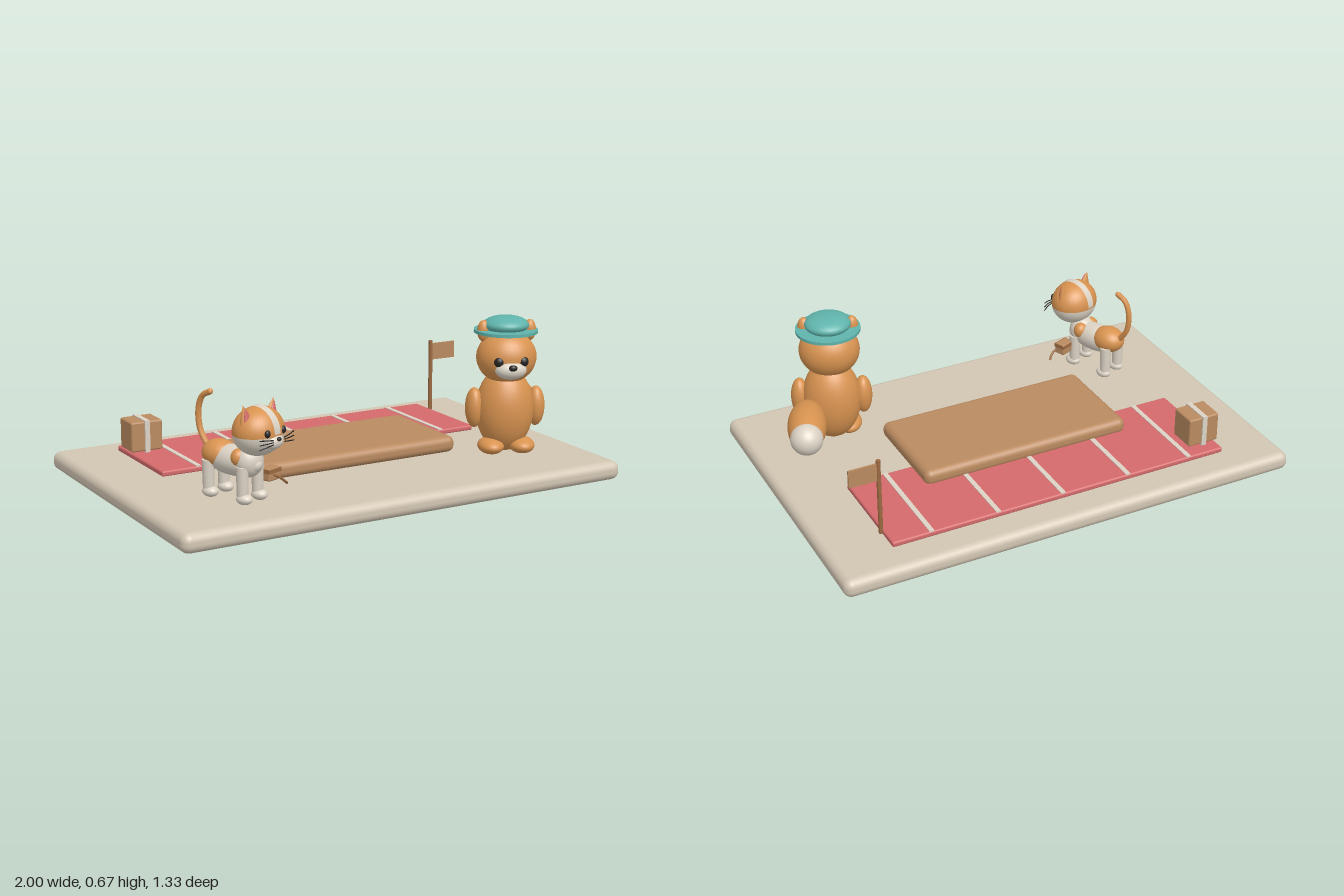
import * as THREE from 'three';
import { RoundedBoxGeometry } from 'three/addons/geometries/RoundedBoxGeometry.js';

const mat = (name, color, extra = {}) => {
  const m = new THREE.MeshStandardMaterial({ color, ...extra });
  m.name = name;
  return m;
};

export function createModel() {
  const stone = mat('stone', 0xd2c6b3);
  const cream = mat('cream', 0xdcd3c5);
  const red = mat('red', 0xd46a6b);
  const wood = mat('wood', 0xb98a60);
  const darkWood = mat('darkWood', 0x9c6b43);
  const orange = mat('orange', 0xd89350);
  const teal = mat('teal', 0x5fb3ab);
  const black = mat('black', 0x262423);

  const add = (parent, name, geometry, material, x = 0, y = 0, z = 0) => {
    const m = new THREE.Mesh(geometry, material);
    m.name = name;
    m.position.set(x, y, z);
    parent.add(m);
    return m;
  };
  const group = (parent, name, x = 0, y = 0, z = 0, yaw = 0) => {
    const g = new THREE.Group();
    g.name = name;
    g.position.set(x, y, z);
    g.rotation.y = yaw;
    parent.add(g);
    return g;
  };
  const blob = (parent, name, material, [x, y, z], [rx, ry, rz]) =>
    add(parent, name, new THREE.SphereGeometry(1, 32, 20).scale(rx, ry, rz), material, x, y, z);
  const tube = (parent, name, material, points, radius) => {
    const path = new THREE.CatmullRomCurve3(points.map(p => new THREE.Vector3(...p)));
    return add(parent, name, new THREE.TubeGeometry(path, 24, radius, 8), material);
  };

  const model = new THREE.Group();
  model.name = 'scene';

  // Ground slab, striped rug and low bench
  add(model, 'base', new RoundedBoxGeometry(2, 0.08, 1.33, 5, 0.035), stone, 0, 0.04, 0);
  add(model, 'rug', new RoundedBoxGeometry(1.5, 0.024, 0.46, 2, 0.008), red, -0.003, 0.09, -0.297);
  for (const x of [-0.59, -0.3, 0, 0.29, 0.58])
    add(model, 'rugStripe', new THREE.BoxGeometry(0.02, 0.006, 0.455), cream, x, 0.102, -0.297);
  add(model, 'bench', new RoundedBoxGeometry(0.93, 0.07, 0.455, 5, 0.03), wood, 0, 0.122, 0);

  // Parcel with a strap around it
  const parcel = group(model, 'parcel', -0.69, 0.174, -0.415);
  add(parcel, 'parcelBox', new RoundedBoxGeometry(0.14, 0.128, 0.12, 2, 0.008), wood);
  add(parcel, 'parcelStrap', new THREE.BoxGeometry(0.022, 0.136, 0.132), cream);

  // Flag on a pole
  const flag = group(model, 'flag', 0.75, 0, -0.42);
  add(flag, 'flagPole', new THREE.CylinderGeometry(0.009, 0.009, 0.335, 12), darkWood, 0, 0.252, 0);
  add(flag, 'flagPanel', new THREE.BoxGeometry(0.12, 0.075, 0.009), wood, 0.065, 0.368, 0);

  // Standing bushy-tailed animal with a hat
  const guide = group(model, 'guide', 0.645, 0, 0.317, -0.39);
  blob(guide, 'guideBody', orange, [0, 0.275, 0], [0.122, 0.18, 0.11]);
  blob(guide, 'guideHead', orange, [0, 0.5, 0.012], [0.126, 0.112, 0.113]);
  blob(guide, 'guideMuzzle', cream, [0, 0.462, 0.1], [0.066, 0.04, 0.045]);
  blob(guide, 'guideNose', black, [0, 0.478, 0.142], [0.018, 0.013, 0.013]);
  for (const s of [-1, 1]) {
    blob(guide, 'guideEye', black, [s * 0.05, 0.497, 0.106], [0.022, 0.022, 0.018]);
    blob(guide, 'guideEar', orange, [s * 0.098, 0.61, 0.005], [0.026, 0.045, 0.024]);
    blob(guide, 'guideArm', orange, [s * 0.131, 0.285, 0.005], [0.038, 0.085, 0.046]);
    blob(guide, 'guideFoot', orange, [s * 0.065, 0.128, 0.042], [0.055, 0.034, 0.075]);
  }
  blob(guide, 'guideTail', orange, [0.1, 0.267, -0.205], [0.08, 0.078, 0.165]);
  blob(guide, 'guideTailTip', cream, [0.1, 0.267, -0.307], [0.067, 0.066, 0.066]);
  add(guide, 'hatBrim', new THREE.CylinderGeometry(0.133, 0.133, 0.013, 40), teal, 0, 0.607, -0.008);
  blob(guide, 'hatCrown', teal, [0, 0.632, -0.008], [0.096, 0.038, 0.094]);

  // Cat body, legs and tail
  const cat = group(model, 'cat', -0.635, 0, 0.33, 0.38);
  blob(cat, 'catBody', cream, [0, 0.235, 0.01], [0.062, 0.06, 0.135]);
  blob(cat, 'catChest', cream, [0, 0.245, 0.085], [0.06, 0.065, 0.055]);
  blob(cat, 'catRump', orange, [0, 0.25, -0.065], [0.064, 0.056, 0.075]);
  for (const s of [-1, 1]) {
    blob(cat, 'catFlankPatch', orange, [s * 0.035, 0.262, 0.065], [0.034, 0.035, 0.03]);
    for (const z of [-0.085, 0.09]) {
      add(cat, 'catLeg', new THREE.CylinderGeometry(0.025, 0.022, 0.13, 16), cream, s * 0.044, 0.165, z);
      blob(cat, 'catPaw', cream, [s * 0.044, 0.104, z + 0.008], [0.028, 0.022, 0.035]);
    }
  }
  tube(cat, 'catTail', orange, [[0, 0.26, -0.12], [0, 0.33, -0.165], [0, 0.41, -0.172],
    [0, 0.465, -0.15], [0, 0.487, -0.11]], 0.012);
  blob(cat, 'catTailTip', orange, [0, 0.487, -0.11], [0.012, 0.012, 0.012]);

  // Cat head in two colours, with a pale stripe over the crown
  const head = group(cat, 'catHead', 0, 0.372, 0.135);
  const split = Math.PI * 0.53;
  const cap = (start, length) => new THREE.SphereGeometry(1, 32, 14, 0, Math.PI * 2, start, length).scale(0.11, 0.096, 0.094);
  add(head, 'catHeadTop', cap(0, split), orange);
  add(head, 'catHeadBottom', cap(split, Math.PI - split), cream);
  const stripe = new THREE.CylinderGeometry(1, 1, 0.034, 32, 1, true, 0, Math.PI);
  add(head, 'catStripe', stripe.rotateZ(Math.PI / 2).scale(1, 0.098, 0.096), cream);
  blob(head, 'catMuzzle', cream, [0, -0.03, 0.075], [0.045, 0.03, 0.03]);
  blob(head, 'catNose', black, [0, -0.017, 0.102], [0.011, 0.008, 0.008]);
  for (const s of [-1, 1]) {
    blob(head, 'catEye', black, [s * 0.045, 0.008, 0.084], [0.013, 0.015, 0.01]);
    const ear = group(head, 'catEar', s * 0.078, 0.078, 0);
    ear.rotation.z = -s * 0.25;
    add(ear, 'catEarOuter', new THREE.ConeGeometry(0.034, 0.075, 16).scale(1, 1, 0.6), orange);
    add(ear, 'catEarInner', new THREE.ConeGeometry(0.025, 0.058, 16).scale(1, 1, 0.6), red, 0, -0.003, 0.009);
    for (const k of [-1, 0, 1])
      tube(head, 'catWhisker', black, [[s * 0.03, -0.025 + k * 0.008, 0.1],
        [s * 0.065, -0.024 + k * 0.013, 0.099], [s * 0.1, -0.025 + k * 0.018, 0.09]], 0.0022);
  }

  // Small satchel beside the cat with a loose cord
  const satchel = group(model, 'satchel', -0.51, 0.181, 0.405, 0.38);
  add(satchel, 'satchelBag', new RoundedBoxGeometry(0.07, 0.05, 0.05, 2, 0.007), wood);
  add(satchel, 'satchelFlap', new THREE.BoxGeometry(0.072, 0.016, 0.053), darkWood, 0, 0.014, 0);
  tube(model, 'satchelCord', darkWood, [[-0.53, 0.19, 0.43], [-0.48, 0.165, 0.425],
    [-0.455, 0.145, 0.42], [-0.435, 0.13, 0.4]], 0.005);

  return model;
}
